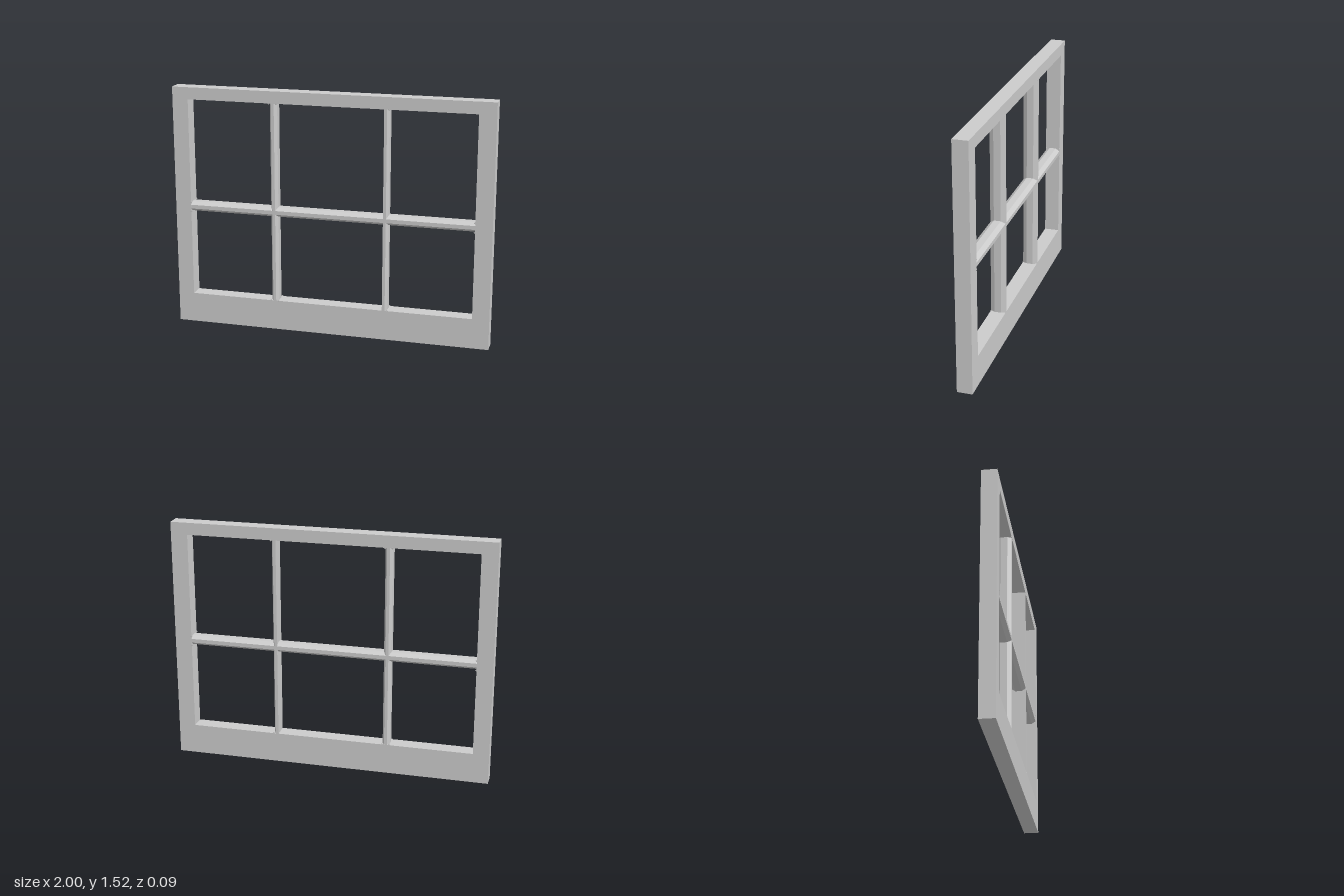
import * as THREE from 'three';

const mat = new THREE.MeshStandardMaterial({ color: 0xcccccc, flatShading: true });
const H = 1.525, D = 0.047;                              // frame height, half depth
const open = { x0: -0.9, x1: 0.895, y0: 0.19, y1: 1.45 }; // glazed opening

function rect(shape, x0, y0, x1, y1) {
  shape.moveTo(x0, y0);
  shape.lineTo(x1, y0);
  shape.lineTo(x1, y1);
  shape.lineTo(x0, y1);
  shape.closePath();
  return shape;
}

function add(parent, geometry, name) {
  const mesh = new THREE.Mesh(geometry, mat);
  mesh.name = name;
  parent.add(mesh);
  return mesh;
}

// Vertical glazing bar centred on x = 0: narrow faces, bevelled to wide shoulders.
// left and right are the shoulder offsets, flat is half the narrow face.
function glazingBar(name, length, left, right, flat) {
  const bar = new THREE.Group();
  bar.name = name;
  const z = 0.021, f = D - 0.0005;
  const profile = new THREE.Shape([
    [-flat, -f], [flat, -f], [right, -z], [right, z],
    [flat, f], [-flat, f], [-left, z], [-left, -z],
  ].map(([x, y]) => new THREE.Vector2(x, y)));
  const g = new THREE.ExtrudeGeometry(profile, { depth: length + 0.01, bevelEnabled: false });
  g.translate(0, 0, -length / 2 - 0.005).rotateX(-Math.PI / 2);
  add(bar, g, name + 'Body');

  // Small pointed joints where each bevelled shoulder meets the frame
  for (const x of [-left, right]) {
    if (Math.abs(x) <= flat) continue;
    for (const end of [-1, 1]) for (const side of [-1, 1]) {
      const tip = add(bar, new THREE.OctahedronGeometry(0.01), 'jointTip');
      tip.scale.z = 0.15;
      tip.position.set(x, end * (length / 2 + 0.002), side * (D - 0.001));
    }
  }
  return bar;
}

export function createModel() {
  const model = new THREE.Group();
  model.name = 'windowSash';

  // Outer frame with a deep bottom rail
  const outline = rect(new THREE.Shape(), -1, 0, 1, H);
  outline.holes.push(rect(new THREE.Path(), open.x0, open.y0, open.x1, open.y1));
  const frame = new THREE.ExtrudeGeometry(outline, { depth: 2 * D, bevelEnabled: false });
  add(model, frame.translate(0, 0, -D), 'frame');

  // Upright bars; the second has a square inner side
  const midY = (open.y0 + open.y1) / 2, height = open.y1 - open.y0;
  const right = glazingBar('rightUprightBar', height, 0.023, 0.023, 0.009);
  right.position.set(-0.356, midY, 0);
  const left = glazingBar('leftUprightBar', height, 0.009, 0.021, 0.009);
  left.position.set(0.344, midY, 0);

  // Cross bar
  const cross = glazingBar('crossBar', open.x1 - open.x0, 0.03, 0.03, 0.012);
  cross.rotation.z = Math.PI / 2;
  cross.position.set((open.x0 + open.x1) / 2, 0.766, 0);

  model.add(right, left, cross);
  return model;
}
